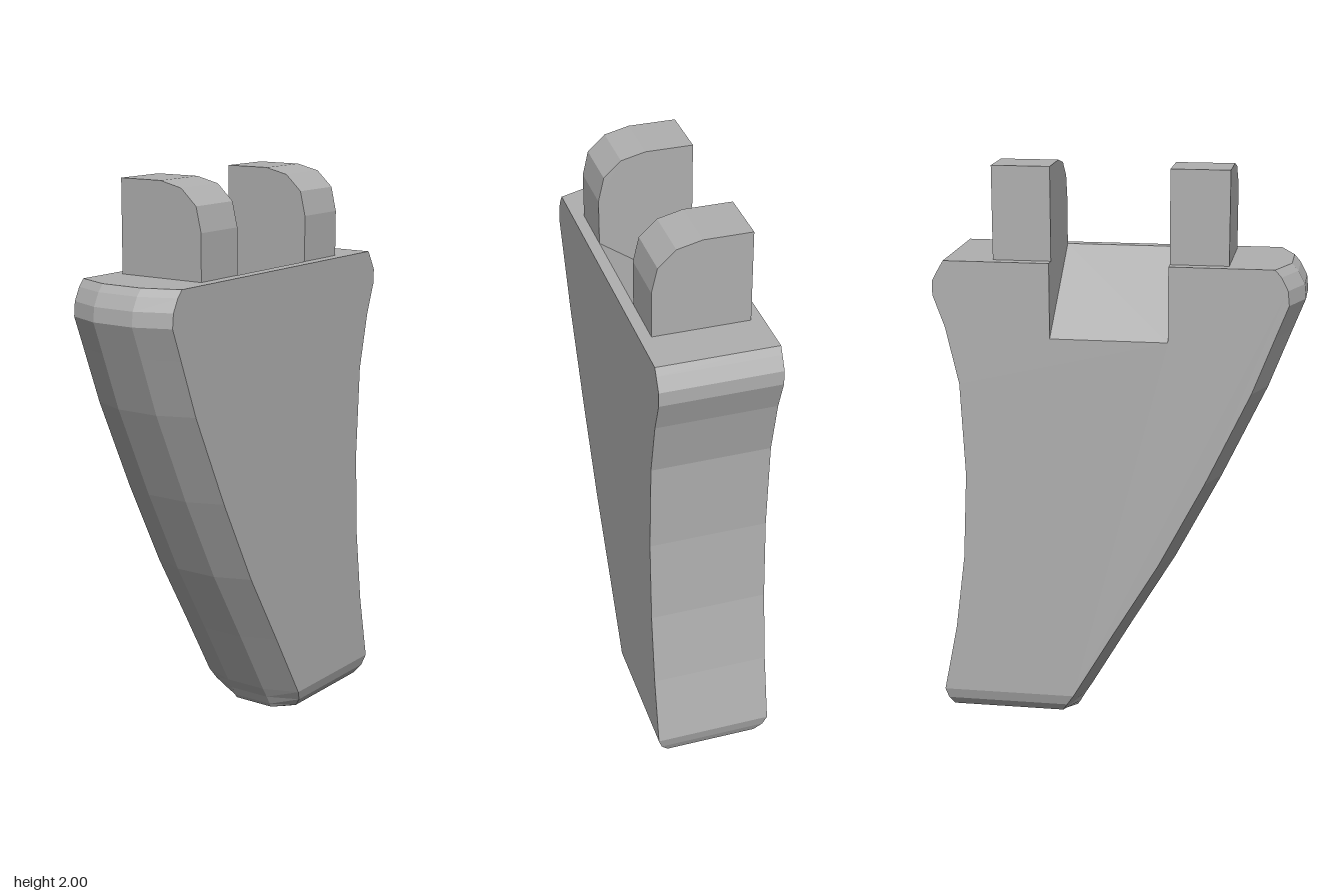
import * as THREE from 'three';

const W = 0.205, TOP = 1.68;
const NOTCH = { back: -0.225, front: 0.18, floor: 1.42, inner: 0.165 };

// Body levels: height, front z, back z, half width
const LEVELS = [
  [0, -0.16, -0.585, 0.13],
  [0.015, -0.15, -0.605, 0.165],
  [0.05, -0.13, -0.62, 0.192],
  [0.09, -0.105, -0.63, W],
  [0.34, 0.04, -0.58, W],
  [0.61, 0.2, -0.545, W],
  [0.92, 0.36, -0.53, W],
  [1.25, 0.515, -0.545, W],
  [1.45, 0.592, -0.59, W],
  [1.56, 0.635, -0.63, W],
  [1.61, 0.63, -0.63, W],
  [1.655, 0.607, -0.605, W],
  [TOP, 0.585, -0.59, W],
];
const FIRST_FLAT = 3; // level where the sides become flat

// Flat back, straight sides and a three-facet front
function section([y, front, back, w]) {
  const side = front - 0.05;
  return [[-w, back], [w, back], [w, side], [0.08, front], [-0.08, front], [-w, side]]
    .map(([x, z]) => [x, y, z]);
}

function fromTriangles(triangles) {
  const geometry = new THREE.BufferGeometry();
  geometry.setAttribute('position', new THREE.Float32BufferAttribute(triangles.flat(2), 3));
  geometry.computeVertexNormals();
  return geometry;
}

function flatShape(points) {
  return new THREE.ShapeGeometry(new THREE.Shape(points.map(([x, y]) => new THREE.Vector2(x, y))));
}

export function createModel() {
  const model = new THREE.Group();
  const grey = new THREE.MeshStandardMaterial({ color: 0xb0b0b0 });
  grey.name = 'grey';
  const add = (name, geometry) => {
    const mesh = new THREE.Mesh(geometry, grey);
    mesh.name = name;
    model.add(mesh);
    return mesh;
  };

  // Lofted shell, leaving the notched side open
  const rings = LEVELS.map(section);
  const shell = [];
  for (let k = 0; k < rings.length - 1; k++) {
    for (let i = 0; i < 6; i++) {
      if (i === 5 && k >= FIRST_FLAT) continue;
      const j = (i + 1) % 6;
      const [a, b, A, B] = [rings[k][i], rings[k][j], rings[k + 1][i], rings[k + 1][j]];
      shell.push([a, A, b], [b, A, B]);
    }
  }
  for (let i = 1; i < 5; i++) shell.push([rings[0][0], rings[0][i], rings[0][i + 1]]);
  add('bodyShell', fromTriangles(shell));

  // Right side face with the notch cut from its top edge
  const flat = LEVELS.slice(FIRST_FLAT);
  const sideFace = flatShape([
    ...flat.map(([y, front]) => [front - 0.05, y]),
    [NOTCH.front, TOP], [NOTCH.front, NOTCH.floor],
    [NOTCH.back, NOTCH.floor], [NOTCH.back, TOP],
    ...flat.map(([y, , back]) => [back, y]).reverse(),
  ]);
  add('notchedSide', sideFace.rotateY(-Math.PI / 2).translate(-W, 0, 0));

  // Top face with the notch opening
  const rim = rings[rings.length - 1].map(([x, , z]) => [x, -z]);
  const topFace = flatShape([
    ...rim,
    [-W, -NOTCH.front], [NOTCH.inner, -NOTCH.front],
    [NOTCH.inner, -NOTCH.back], [-W, -NOTCH.back],
  ]);
  add('topFace', topFace.rotateX(-Math.PI / 2).translate(0, TOP, 0));

  // Sloping notch floor and its two triangular walls
  const corner = (z) => [[-W, NOTCH.floor, z], [NOTCH.inner, TOP, z], [-W, TOP, z]];
  const [lowF, highF, rimF] = corner(NOTCH.front);
  const [lowB, highB, rimB] = corner(NOTCH.back);
  add('notch', fromTriangles([
    [lowF, highF, highB], [lowF, highB, lowB],
    [lowF, rimF, highF], [lowB, highB, rimB],
  ]));

  // Two prongs rounded on one upper corner
  const outline = new THREE.Shape([
    [-0.165, TOP], [0.165, TOP], [0.165, 1.84], [0.145, 1.925],
    [0.085, 1.98], [0, 2], [-0.165, 2],
  ].map(([x, y]) => new THREE.Vector2(x, y)));
  for (const [name, z] of [['frontProng', NOTCH.front], ['backProng', NOTCH.back - 0.2]]) {
    const prong = new THREE.ExtrudeGeometry(outline, { depth: 0.2, bevelEnabled: false });
    add(name, prong.translate(0, 0, z));
  }
  return model;
}
